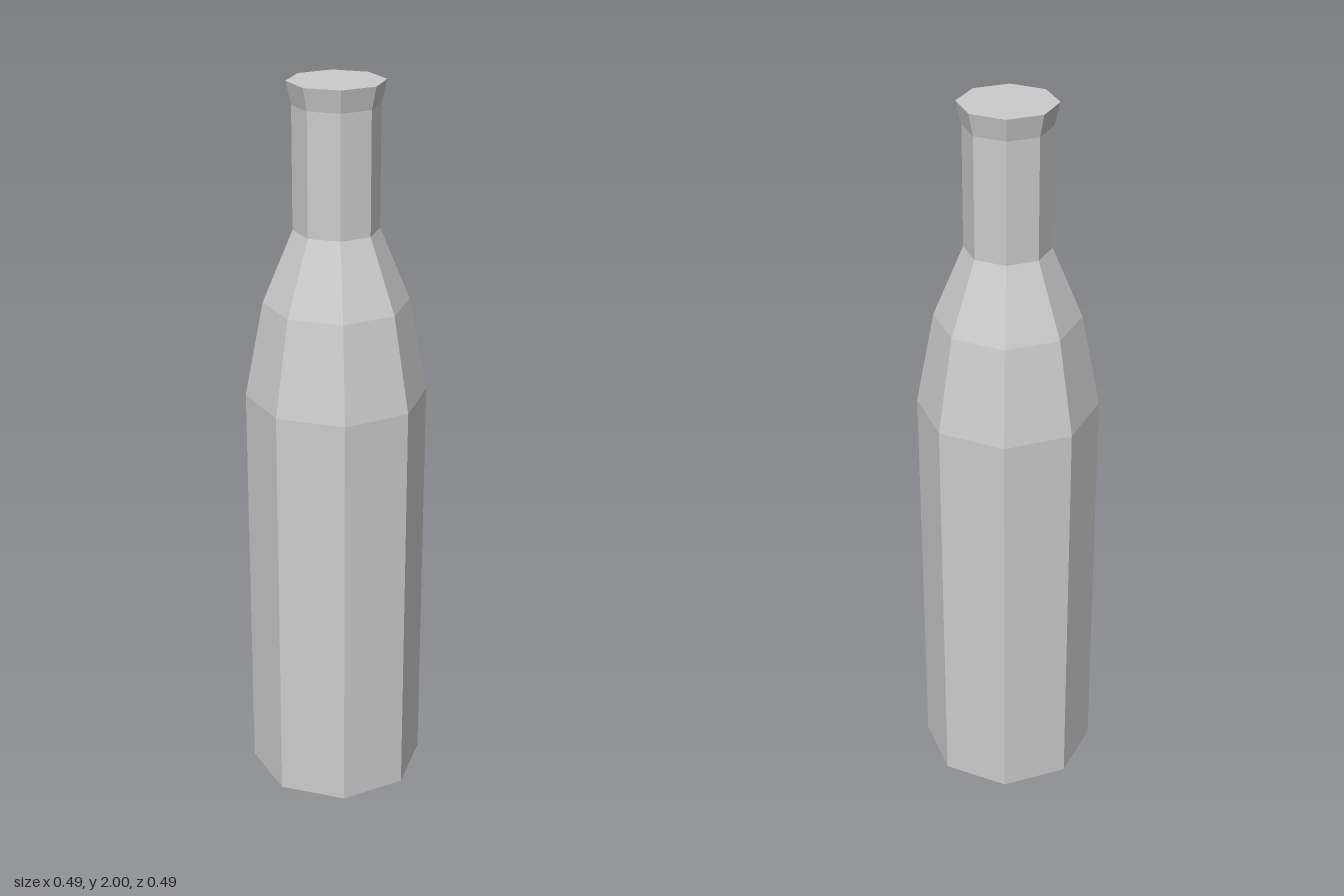
import * as THREE from 'three';

export function createModel() {
  const group = new THREE.Group();
  group.name = 'bottle';
  const material = new THREE.MeshStandardMaterial({ color: 0xcccccc, flatShading: true });

  // Closed outline from the base centre to the top centre: [radius, height]
  const profile = [
    [0, 0],
    [0.245, 0],      // base
    [0.245, 1.16],   // top of straight body
    [0.195, 1.42],   // shoulder
    [0.114, 1.615],  // foot of neck
    [0.114, 1.94],   // under the lip
    [0.128, 2],      // flared lip
    [0, 2],
  ].map(([r, y]) => new THREE.Vector2(r, y));

  // Eight-sided body with corners on the x and z axes
  const body = new THREE.Mesh(new THREE.LatheGeometry(profile, 8), material);
  body.name = 'bottleBody';
  group.add(body);
  return group;
}
